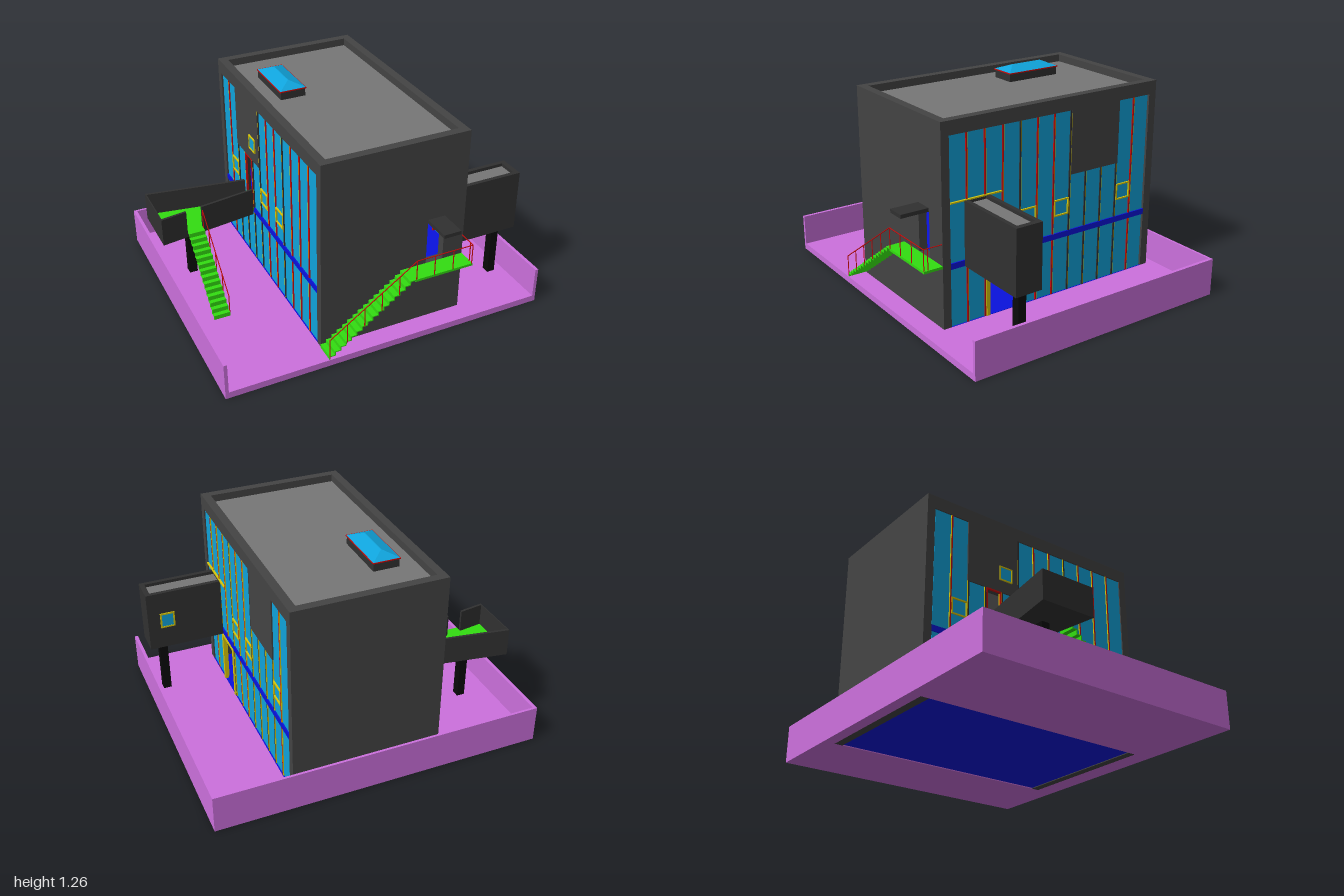
import * as THREE from 'three';

const COLORS = {
  lawn: 0xcc70dd, wall: 0x444444, dark: 0x313131, roof: 0x777777, glass: 0x10a4dc,
  red: 0xc80a0a, yellow: 0xd8c80a, blue: 0x0a12dd, green: 0x33dd11, black: 0x0a0a0a,
};
const mats = {};
for (const k in COLORS) mats[k] = new THREE.MeshStandardMaterial({ color: COLORS[k], side: THREE.DoubleSide });

function add(parent, name, geo, mat) {
  const m = new THREE.Mesh(geo, mats[mat]);
  m.name = name;
  parent.add(m);
  return m;
}

// Box given by its extents
function box(parent, name, mat, x0, x1, y0, y1, z0, z1) {
  const m = add(parent, name, new THREE.BoxGeometry(x1 - x0, y1 - y0, z1 - z0), mat);
  m.position.set((x0 + x1) / 2, (y0 + y1) / 2, (z0 + z1) / 2);
  return m;
}

// Upright prism over a plan of [x, z] points, with an optional hole
function prism(parent, name, mat, pts, y0, y1, hole) {
  const v = (p) => new THREE.Vector2(p[0], -p[1]);
  const s = new THREE.Shape(pts.map(v));
  if (hole) s.holes.push(new THREE.Path(hole.map(v)));
  const g = new THREE.ExtrudeGeometry(s, { depth: y1 - y0, bevelEnabled: false });
  g.rotateX(-Math.PI / 2).translate(0, y0, 0);
  return add(parent, name, g, mat);
}
const rect = (x0, x1, z0, z1) => [[x0, z0], [x1, z0], [x1, z1], [x0, z1]];

// Thin round bar between two points
function bar(parent, name, a, b, mat = 'red', r = 0.003) {
  const p = new THREE.Vector3(...a), q = new THREE.Vector3(...b);
  const m = add(parent, name, new THREE.CylinderGeometry(r, r, p.distanceTo(q), 6), mat);
  m.position.copy(p).add(q).multiplyScalar(0.5);
  m.quaternion.setFromUnitVectors(new THREE.Vector3(0, 1, 0), q.sub(p).normalize());
}

function group(parent, name) {
  const g = new THREE.Group();
  g.name = name;
  parent.add(g);
  return g;
}

const X0 = -0.38, X1 = 0.52, Z0 = -0.8, Z1 = 0.695, TOP = 1.22, T = 0.05;
const GROUND = 0.04, FLOOR = 0.42;

// Rectangular frame lying on a side facade
function frame(parent, name, mat, x, y0, y1, z0, z1, w = 0.008) {
  const a = x - 0.006, b = x + 0.006;
  box(parent, name, mat, a, b, y1 - w, y1, z0, z1);
  box(parent, name, mat, a, b, y0, y0 + w, z0, z1);
  box(parent, name, mat, a, b, y0, y1, z0, z0 + w);
  box(parent, name, mat, a, b, y0, y1, z1 - w, z1);
}

// Glazed long side; s is +1 for the left side and -1 for the right side
function facade(parent, s) {
  const g = group(parent, s > 0 ? 'leftFacade' : 'rightFacade');
  const face = s > 0 ? X1 : X0, inner = face - s * T;
  const xa = Math.min(face, inner), xb = Math.max(face, inner);
  const pitch = 0.1167, w = 0.105, start = 0.645;
  box(g, 'header', 'wall', xa, xb, 1.14, TOP, Z0 + T, Z1 - T);
  box(g, 'blankWall', 'wall', xa, xb, 0.76, 1.14, -0.522, -0.172);
  const gx = face - s * 0.012;
  for (let i = 0; i < 12; i++) {
    const zb = start - i * pitch, za = zb - w;
    const low = i >= 7 && i <= 9, top = low ? 0.76 : 1.14;
    const groundDoor = s > 0 && (i === 2 || i === 3);
    const bridgeDoor = s < 0 && i === 8;
    if (!bridgeDoor) box(g, 'upperPane', 'glass', gx - 0.004, gx + 0.004, FLOOR, top, za, zb);
    if (!groundDoor) box(g, 'lowerPane', 'glass', gx - 0.004, gx + 0.004, GROUND, 0.385, za, zb);
    if (bridgeDoor) frame(g, 'bridgeDoorFrame', 'red', face - s * 0.005, FLOOR, 0.76, za, zb);
    if (i === 4 || i === 6 || i === 10) frame(g, 'casement', 'yellow', face - s * 0.005, 0.525, 0.625, za, zb);
    // Mullion beside the pane
    if (i > 0) {
      const red = [1, 2, 3, 5, 6, 11].includes(i), mt = (i === 7 || i === 10) ? 1.14 : top;
      const y0 = i === 3 && s > 0 ? 0.385 : GROUND;
      const ma = face - s * 0.03, mb = face - s * 0.002;
      const a = Math.min(ma, mb), b = Math.max(ma, mb);
      box(g, 'mullion', red ? 'red' : 'dark', a, b, y0, mt, zb + 0.003, zb + 0.0117);
      box(g, 'mullionEdge', 'yellow', a, b, y0, mt, zb, zb + 0.003);
    }
  }
  return g;
}

// Flight of thin steps; place(t) returns the run coordinate, along is the run axis
function steps(parent, n, along, r0, r1, c0, c1, y0, y1) {
  const h = (y1 - y0) / n, d = (r1 - r0) / n, e = 0.006;
  for (let i = 0; i < n; i++) {
    const a = r0 + i * d, b = a + d, lo = Math.min(a, b), hi = Math.max(a, b), y = y0 + (i + 1) * h;
    const slab = (p, q, ya, yb, name) => along === 'x'
      ? box(parent, name, 'green', p, q, ya, yb, c0, c1)
      : box(parent, name, 'green', c0, c1, ya, yb, p, q);
    slab(lo, hi, y - e, y, 'tread');
    slab(a - e / 2, a + e / 2, y - h - e, y, 'riser');
  }
}

export function createModel() {
  const root = new THREE.Group();
  root.name = 'house';

  // Plot with a low wall on three sides
  const plot = group(root, 'plot');
  prism(plot, 'lawn', 'lawn', rect(-1, 1, -0.87, 0.815), 0, GROUND, rect(X0, X1, Z0, Z1));
  box(plot, 'boundaryRight', 'lawn', -1, -0.98, GROUND, 0.23, -0.87, 0.815);
  box(plot, 'boundaryLeft', 'lawn', 0.98, 1, GROUND, 0.23, -0.87, 0.815);
  box(plot, 'boundaryBack', 'lawn', -0.98, 0.98, GROUND, 0.23, -0.87, -0.855);

  // Main block: end walls, floors, roof and glazed sides
  const main = group(root, 'mainBlock');
  box(main, 'backWall', 'wall', X0, X1, 0, TOP, Z0, Z0 + T);
  const front = new THREE.Shape([[X0, 0], [X1, 0], [X1, TOP], [X0, TOP]].map((p) => new THREE.Vector2(...p)));
  front.holes.push(new THREE.Path([[0.28, FLOOR], [0.39, FLOOR], [0.39, 0.69], [0.28, 0.69]].map((p) => new THREE.Vector2(...p))));
  add(main, 'frontWall', new THREE.ExtrudeGeometry(front, { depth: T, bevelEnabled: false }), 'wall').position.z = Z1 - T;
  box(main, 'groundFloor', 'blue', X0 + 0.002, X1 - 0.002, 0.005, GROUND, Z0 + T, Z1 - T);
  box(main, 'upperFloor', 'blue', X0, X1, 0.385, FLOOR, Z0 + T, Z1 - T);
  box(main, 'roof', 'roof', X0 + T, X1 - T, 1.14, 1.175, Z0 + T, Z1 - T);
  const left = facade(main, 1);
  facade(main, -1);
  box(left, 'transom', 'yellow', 0.512, 0.524, 0.762, 0.77, 0.31, 0.645);

  // Ground floor entrance on the left side
  box(left, 'doorPost', 'yellow', 0.5, 0.524, GROUND, 0.385, 0.39, 0.412);
  box(left, 'doorPost', 'yellow', 0.5, 0.524, GROUND, 0.385, 0.19, 0.212);
  box(left, 'doorHead', 'yellow', 0.5, 0.524, 0.368, 0.385, 0.212, 0.39);

  // Small window above the bridge door
  box(main, 'smallWindow', 'glass', X0 - 0.003, X0 + 0.01, 0.84, 0.92, -0.3, -0.22);
  frame(main, 'smallWindowFrame', 'yellow', X0 - 0.002, 0.835, 0.925, -0.305, -0.215, 0.007);

  // Hipped skylight
  const sky = group(root, 'skylight');
  box(sky, 'curb', 'dark', -0.225, -0.07, 1.17, 1.222, -0.52, -0.17);
  box(sky, 'rim', 'red', -0.23, -0.065, 1.222, 1.229, -0.525, -0.165);
  const hip = new THREE.BoxGeometry(0.16, 0.031, 0.354);
  const hp = hip.attributes.position;
  for (let i = 0; i < hp.count; i++) {
    if (hp.getY(i) > 0) { hp.setX(i, hp.getX(i) * 0.03); hp.setZ(i, hp.getZ(i) * 0.6); }
  }
  const hipFlat = hip.toNonIndexed();
  hipFlat.computeVertexNormals();
  add(sky, 'skylightGlass', hipFlat, 'glass').position.set(-0.1475, 1.2445, -0.345);

  // Raised wing on a column
  const wing = group(root, 'wing');
  box(wing, 'wingBody', 'dark', X1, 0.985, 0.385, 0.735, 0.39, 0.555);
  prism(wing, 'wingParapet', 'dark', rect(X1, 0.985, 0.39, 0.555), 0.735, 0.765, rect(X1 + 0.001, 0.955, 0.415, 0.53));
  box(wing, 'wingRoof', 'roof', X1, 0.955, 0.735, 0.745, 0.415, 0.53);
  box(wing, 'wingWindow', 'glass', 0.83, 0.9, 0.535, 0.615, 0.386, 0.392);
  for (const [a, b, c, d] of [[0.82, 0.91, 0.615, 0.625], [0.82, 0.91, 0.525, 0.535], [0.82, 0.83, 0.535, 0.615], [0.9, 0.91, 0.535, 0.615]])
    box(wing, 'wingWindowFrame', 'yellow', a, b, c, d, 0.384, 0.392);
  box(wing, 'wingColumn', 'black', 0.87, 0.92, GROUND, 0.385, 0.44, 0.49);

  // Front stair, landing, canopy and railing
  const stair = group(root, 'frontStair');
  steps(stair, 16, 'x', X0, 0.15, Z1, 0.812, GROUND, FLOOR);
  box(stair, 'landing', 'green', 0.15, X1, 0.405, FLOOR, Z1, 0.812);
  box(stair, 'canopy', 'dark', 0.28, 0.388, 0.69, 0.712, Z1, 0.868);
  const zr = 0.81, H = 0.125;
  for (let i = 0; i <= 5; i++) {
    const x = X0 + i * 0.107, y = GROUND + 0.01 + i * 0.074;
    bar(stair, 'railPost', [x, y, zr], [x, y + H, zr]);
  }
  for (const x of [0.27, 0.39, 0.515]) bar(stair, 'railPost', [x, FLOOR, zr], [x, 0.545, zr]);
  bar(stair, 'railPost', [0.515, FLOOR, 0.785], [0.515, 0.545, 0.785]);
  bar(stair, 'handrail', [X0, 0.175, zr], [0.155, 0.545, zr]);
  bar(stair, 'handrail', [0.155, 0.545, zr], [0.515, 0.545, zr]);
  bar(stair, 'handrail', [0.515, 0.545, zr], [0.515, 0.545, Z1]);

  // Tapered bridge terrace with parapets
  const bridge = group(root, 'bridge');
  const back = (x) => -0.505 + (x + 1) * 0.156, fore = (x) => -0.17 - (x + 1) * 0.156;
  const strip = (name, mat, f, g, a, b, y0, y1) =>
    prism(bridge, name, mat, [[a, f(a)], [b, f(b)], [b, g(b)], [a, g(a)]], y0, y1);
  const t = 0.016;
  strip('bridgeDeck', 'green', (x) => back(x) + t, (x) => fore(x) - t, -0.994, X0, 0.4, FLOOR);
  strip('bridgeSoffit', 'dark', back, fore, -1, -0.39, 0.385, 0.4);
  strip('bridgeParapet', 'dark', back, (x) => back(x) + t, -1, -0.39, 0.4, 0.56);
  strip('bridgeParapet', 'dark', (x) => fore(x) - t, fore, -1, -0.84, 0.4, 0.56);
  strip('bridgeParapet', 'dark', (x) => fore(x) - t, fore, -0.74, -0.39, 0.4, 0.56);
  box(bridge, 'bridgeEnd', 'dark', -1, -0.994, 0.4, 0.56, -0.5, -0.175);
  box(bridge, 'bridgeColumn', 'black', -0.815, -0.765, GROUND, 0.385, -0.36, -0.31);

  // Garden stair from the bridge
  const garden = group(root, 'gardenStair');
  steps(garden, 14, 'z', 0.2, -0.2, -0.84, -0.74, GROUND, FLOOR);
  box(garden, 'gardenLanding', 'green', -0.84, -0.74, 0.405, FLOOR, -0.23, -0.195);
  for (let i = 0; i <= 4; i++) {
    const z = 0.19 - i * 0.098, y = GROUND + 0.01 + i * 0.092;
    bar(garden, 'railPost', [-0.738, y, z], [-0.738, y + H, z]);
  }
  bar(garden, 'handrail', [-0.738, 0.175, 0.19], [-0.738, 0.545, -0.202]);

  return root;
}
